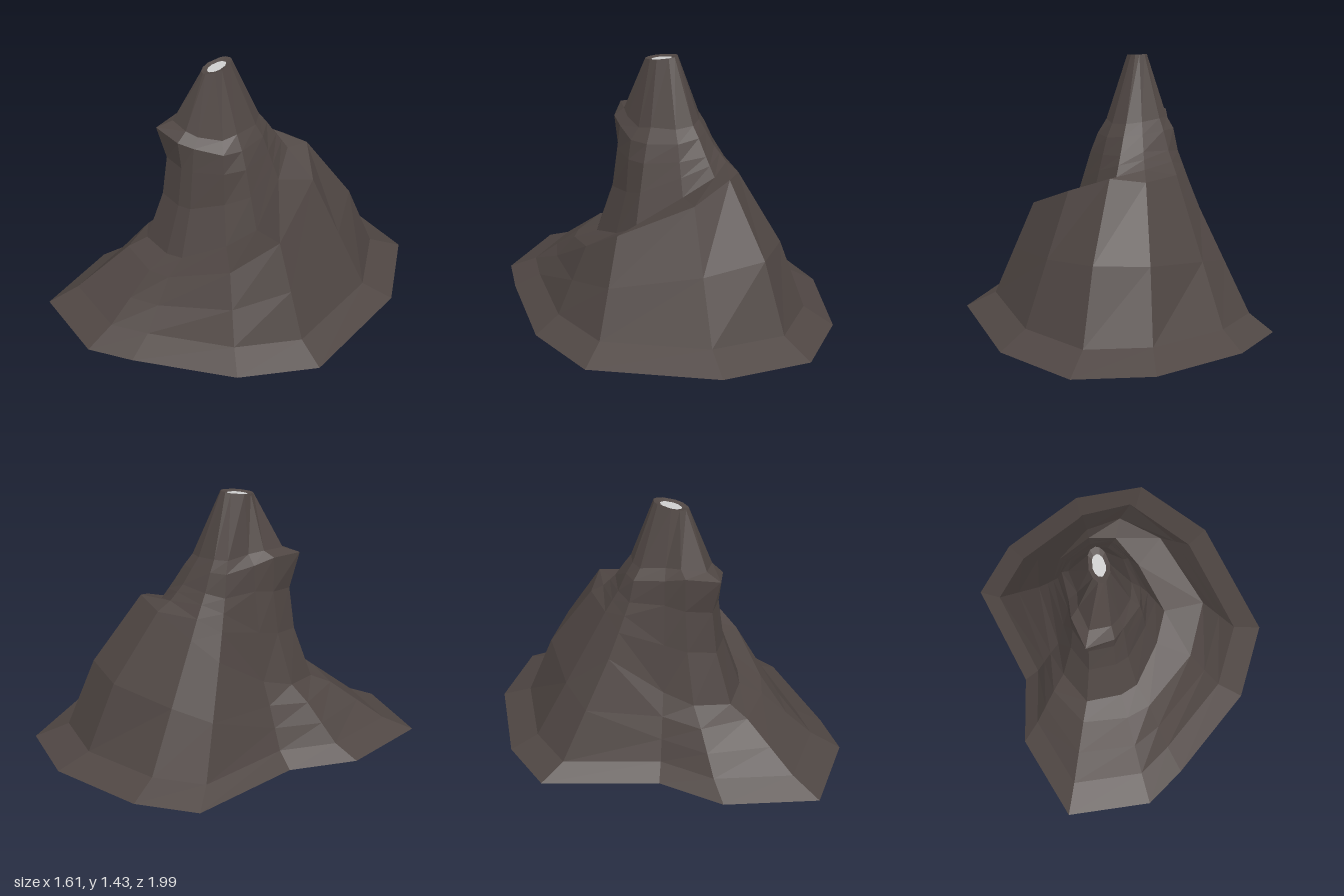
import * as THREE from 'three';

// Footprint corners (x, z), clockwise from the back as seen from above
const FOOT = [
  [-0.10, -1.00], [0.32, -0.98], [0.64, -0.60], [0.80, 0.10], [0.58, 0.49], [0.12, 0.85],
  [-0.10, 0.99], [-0.57, 0.95], [-0.73, 0.47], [-0.65, 0.10], [-0.81, -0.51], [-0.58, -0.77],
];
const N = FOOT.length;
const CX = -0.16, CZ = 0.02; // axis of the spire

// Ring of points: each corner pulled toward the axis by a scale, at a height
function ring(scale, height) {
  const pick = (v, i) => (Array.isArray(v) ? v[i] : v);
  return FOOT.map(([x, z], i) => {
    const s = pick(scale, i);
    return new THREE.Vector3(CX + (x - CX) * s, pick(height, i), CZ + (z - CZ) * s);
  });
}

// Ring between two others, pushed outward (or inward) by a factor per corner
function between(a, b, t, swell) {
  return a.map((p, i) => {
    const q = p.clone().lerp(b[i], t);
    const f = swell(i);
    q.x = CX + (q.x - CX) * f;
    q.z = CZ + (q.z - CZ) * f;
    return q;
  });
}

// Oval mouth ring, its plane falling toward the front
function mouth(rx, rz, drop) {
  return FOOT.map(([x, z]) => {
    const a = Math.atan2(z - CZ, x - CX);
    const pz = 0.035 + rz * Math.sin(a);
    return new THREE.Vector3(-0.155 + rx * Math.cos(a), 1.422 - 0.16 * pz - drop, pz);
  });
}

// Faceted skin through a stack of rings
function loft(name, rings, material) {
  const index = [];
  for (let k = 0; k < rings.length - 1; k++) {
    for (let i = 0; i < N; i++) {
      const j = (i + 1) % N;
      const a = k * N + i, b = k * N + j, c = a + N, d = b + N;
      index.push(a, c, b, b, c, d);
    }
  }
  const geo = new THREE.BufferGeometry().setFromPoints(rings.flat());
  geo.setIndex(index);
  const flat = geo.toNonIndexed();
  flat.computeVertexNormals();
  const mesh = new THREE.Mesh(flat, material);
  mesh.name = name;
  return mesh;
}

export function createModel() {
  const group = new THREE.Group();
  group.name = 'rockSpire';
  const rock = new THREE.MeshStandardMaterial({ color: 0x4f4643, flatShading: true, side: THREE.DoubleSide });
  const grey = new THREE.MeshStandardMaterial({ color: 0xcccccc, flatShading: true, side: THREE.DoubleSide });

  // Lower mountain: flared foot, then slopes up to a crest that climbs round to the back
  const foot = ring(1, 0);
  const skirt = ring(0.83, 0.08);
  const crest = ring(
    [0.43, 0.45, 0.52, 0.60, 0.61, 0.59, 0.54, 0.53, 0.60, 0.64, 0.46, 0.44],
    [0.82, 0.85, 0.76, 0.60, 0.44, 0.33, 0.31, 0.31, 0.29, 0.31, 0.62, 0.72]);
  const slope = between(skirt, crest, 0.5, (i) => (i < 2 ? 1.08 : 1));

  // Spire: spiral ledge, waisted tower, overhanging lip and neck
  const base = ring(
    [0.36, 0.35, 0.33, 0.375, 0.38, 0.44, 0.41, 0.42, 0.47, 0.53, 0.38, 0.38],
    [0.87, 0.83, 0.73, 0.55, 0.46, 0.375, 0.36, 0.355, 0.38, 0.43, 0.76, 0.82]);
  const waist = ring(
    [0.29, 0.29, 0.27, 0.27, 0.28, 0.30, 0.28, 0.29, 0.31, 0.36, 0.295, 0.30],
    [0.95, 0.93, 0.91, 0.89, 0.88, 0.88, 0.88, 0.88, 0.90, 0.92, 0.92, 0.94]);
  const tower = between(base, waist, 0.55, (i) => (i >= 4 && i <= 8 ? 0.92 : 1));
  const lipEdge = ring(
    [0.24, 0.24, 0.24, 0.23, 0.26, 0.28, 0.30, 0.34, 0.31, 0.34, 0.26, 0.25],
    [1.03, 1.02, 1.00, 0.99, 0.99, 1.02, 1.05, 1.08, 1.09, 1.06, 1.04, 1.04]);
  const neck = ring(
    [0.20, 0.20, 0.20, 0.18, 0.20, 0.23, 0.24, 0.25, 0.23, 0.24, 0.21, 0.21],
    [1.09, 1.08, 1.07, 1.07, 1.05, 1.07, 1.10, 1.11, 1.12, 1.11, 1.10, 1.10]);

  // Mouth at the top
  const rim = mouth(0.055, 0.093, 0);
  const throat = mouth(0.034, 0.058, 0.008);
  const centre = mouth(0, 0, 0.008);

  group.add(
    loft('skirt', [foot, skirt], rock),
    loft('lowerSlopes', [skirt, slope, crest], rock),
    loft('spiralLedge', [crest, base], rock),
    loft('tower', [base, tower, waist, lipEdge], rock),
    loft('overhangingLip', [lipEdge, neck], rock),
    loft('neck', [neck, rim], rock),
    loft('mouthRim', [rim, throat], rock),
    loft('mouthFill', [throat, centre], grey),
  );
  return group;
}
